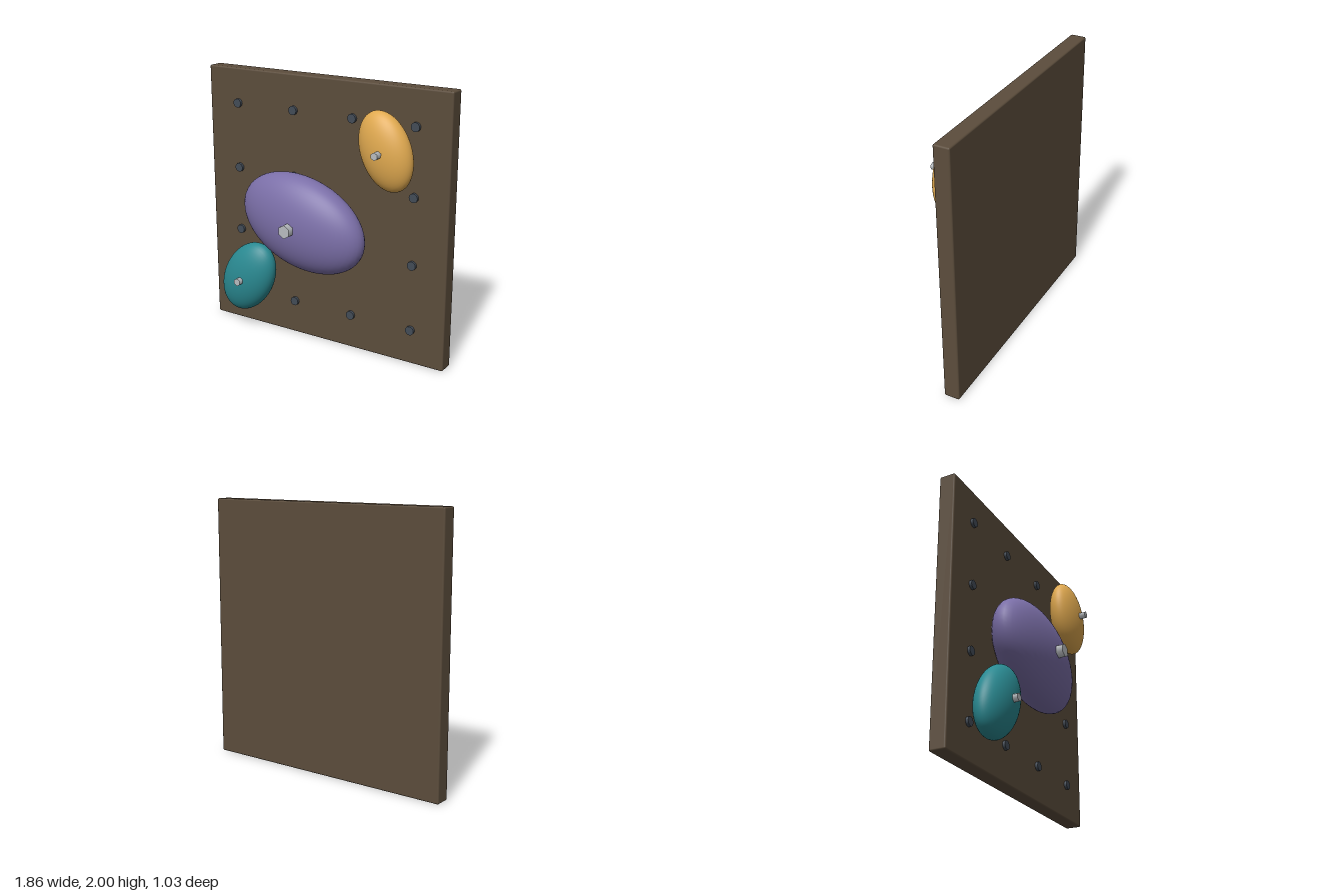
import * as THREE from 'three';
import { RoundedBoxGeometry } from 'three/addons/geometries/RoundedBoxGeometry.js';

const mat = (name, color) => {
  const m = new THREE.MeshStandardMaterial({ color });
  m.name = name;
  return m;
};

export function createModel() {
  const brown = mat('board brown', 0x5c4d3c);
  const slate = mat('socket slate', 0x434c57);
  const purple = mat('purple', 0x7b6fa8);
  const teal = mat('teal', 0x2a8a92);
  const gold = mat('gold', 0xe0a94f);
  const steel = mat('bolt steel', 0xb8bcc0);

  const root = new THREE.Group();
  root.name = 'climbingPanel';

  // Everything sits in the frame of the board, which is turned about the vertical
  const wall = new THREE.Group();
  wall.name = 'wall';
  wall.position.set(0, 1, -0.0475);
  wall.rotation.y = THREE.MathUtils.degToRad(-25);
  root.add(wall);

  const add = (name, geometry, material, x, y, z, parent = wall) => {
    const mesh = new THREE.Mesh(geometry, material);
    mesh.name = name;
    mesh.position.set(x, y, z);
    parent.add(mesh);
    return mesh;
  };

  // Board with slightly softened edges
  const face = 0.06;
  add('board', new RoundedBoxGeometry(2, 2, face * 2, 2, 0.012), brown, 0, 0, 0);

  // Grid of bolt sockets, left out beside the big hold
  const socket = new THREE.CylinderGeometry(0.033, 0.033, 0.03, 16).rotateX(Math.PI / 2);
  for (let row = 0; row < 4; row++) {
    for (let col = 0; col < 4; col++) {
      if (row === 1 && col === 2) continue;
      add('socket', socket, slate, (col - 1.5) * 0.493, (1.5 - row) * 0.493, face + 0.005);
    }
  }

  // Ellipsoid holds, each with a hexagonal bolt head
  const addHold = (name, material, [x, y, z], [a, b, d], tilt, boltRadius, boltTip) => {
    const hold = new THREE.Group();
    hold.name = name;
    hold.position.set(x, y, z);
    wall.add(hold);

    const body = add(name + 'Body', new THREE.SphereGeometry(1, 48, 32), material, 0, 0, 0, hold);
    body.scale.set(a, b, d);
    body.rotation.z = THREE.MathUtils.degToRad(tilt);

    const depth = boltTip - (z + d) + 0.02;
    const head = new THREE.CylinderGeometry(boltRadius, boltRadius, depth, 6).rotateX(Math.PI / 2);
    add(name + 'Bolt', head, steel, 0, 0, boltTip - depth / 2 - z, hold);
  };
  addHold('largeHold', purple, [-0.08, -0.042, 0.197], [0.516, 0.341, 0.2], -16.5, 0.05, 0.445);
  addHold('lowerHold', teal, [-0.587, -0.568, 0.185], [0.309, 0.204, 0.124], 59, 0.03, 0.345);
  addHold('upperHold', gold, [0.575, 0.572, 0.175], [0.285, 0.188, 0.115], -69, 0.028, 0.338);

  return root;
}
